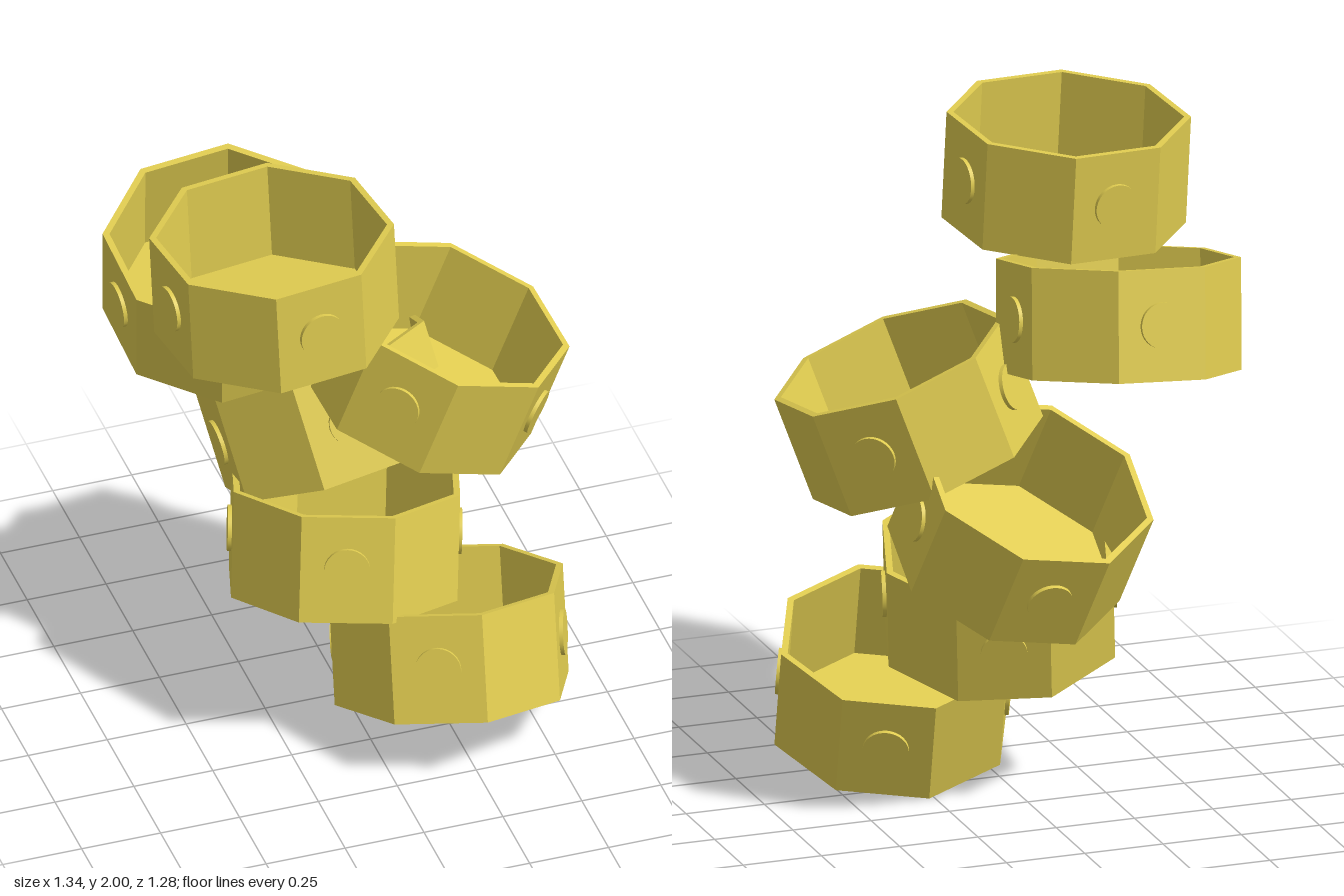
import * as THREE from 'three';

const RADIUS = 0.368, HEIGHT = 0.34, WALL = 0.021;
const APOTHEM = RADIUS * Math.cos(Math.PI / 8);

// Each tub: centre, direction of its open end, and yaw in degrees
const TUBS = [
  { at: [0.272, 0.28, 0.177], up: [0.05, 0.95, -0.31], yaw: 23.5 },
  { at: [0.005, 0.603, -0.01], up: [0.105, 0.96, -0.235], yaw: 17.5 },
  { at: [0.025, 0.895, -0.255], up: [-0.16, 0.88, -0.44], yaw: 1 },
  { at: [0.28, 1.2, 0.025], up: [0.33, 0.94, 0.09], yaw: 39.5 },
  { at: [-0.31, 1.5, -0.197], up: [-0.07, 0.975, 0.21], yaw: -2.5 },
  { at: [-0.315, 1.812, 0.277], up: [-0.03, 1, -0.05], yaw: -6 },
];

// Eight-sided open tub with a thin wall and floor, faceted
function tubGeometry() {
  const h = HEIGHT / 2, inner = RADIUS - WALL;
  const profile = [
    [0, -h], [RADIUS, -h], [RADIUS, h], [inner, h], [inner, -h + WALL], [0, -h + WALL],
  ].map(([x, y]) => new THREE.Vector2(x, y));
  const g = new THREE.LatheGeometry(profile, 8, Math.PI / 8).toNonIndexed();
  g.computeVertexNormals();
  return g;
}

export function createModel() {
  const model = new THREE.Group();
  model.name = 'tubStack';
  const yellow = new THREE.MeshStandardMaterial({ color: 0xe0cc50 });
  yellow.name = 'yellow';

  const shellGeometry = tubGeometry();
  // Shallow round boss, lying flat against a +x side
  const bossGeometry = new THREE.CylinderGeometry(0.07, 0.07, 0.024, 32);
  bossGeometry.rotateZ(-Math.PI / 2).translate(APOTHEM, 0, 0);

  TUBS.forEach(({ at, up, yaw }, i) => {
    const tub = new THREE.Group();
    tub.name = `tub${i + 1}`;
    const shell = new THREE.Mesh(shellGeometry, yellow);
    shell.name = 'shell';
    tub.add(shell);

    // Bosses on every other side, kept outside the hollow
    for (let k = 0; k < 4; k++) {
      const boss = new THREE.Mesh(bossGeometry, yellow);
      boss.name = 'roundBoss';
      boss.rotation.y = k * Math.PI / 2;
      tub.add(boss);
    }

    // Tilt, then turn about the tub's own axis
    const axisY = new THREE.Vector3(0, 1, 0);
    tub.quaternion
      .setFromUnitVectors(axisY, new THREE.Vector3(...up).normalize())
      .multiply(new THREE.Quaternion().setFromAxisAngle(axisY, -THREE.MathUtils.degToRad(yaw)));
    tub.position.set(...at);
    model.add(tub);
  });

  return model;
}
